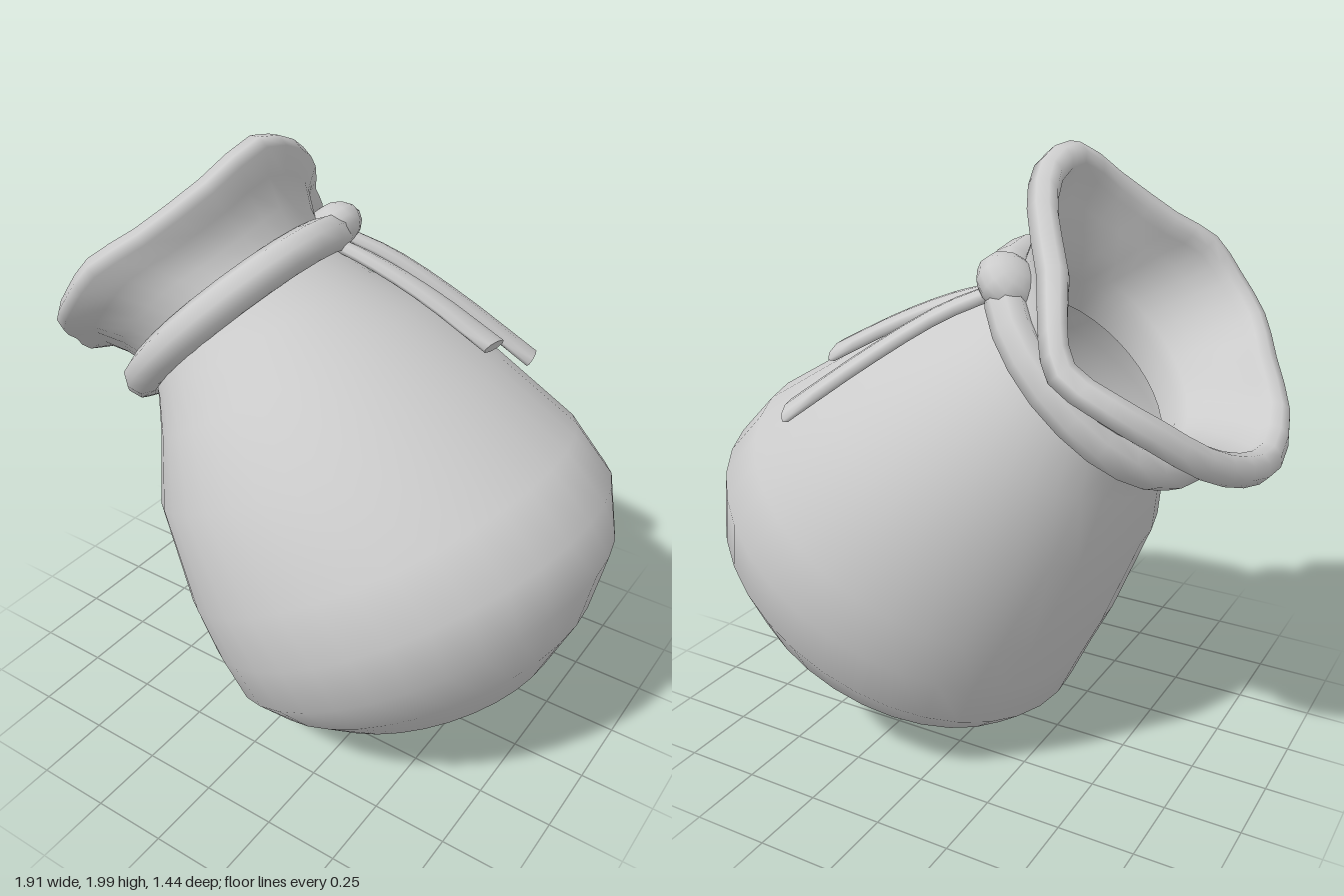
import * as THREE from 'three';

const SEG = 36;
const V = (x, y, z) => new THREE.Vector3(x, y, z);

// Elliptical ring leaning in the xy plane: from its left end (ax, ay) to its right end (bx, by), half width w in z
function ring([ax, ay, bx, by, w]) {
  return Array.from({ length: SEG }, (_, j) => {
    const a = (j / SEG) * Math.PI * 2, c = Math.cos(a) / 2;
    return V((ax + bx) / 2 + (bx - ax) * c, (ay + by) / 2 + (by - ay) * c, w * Math.sin(a));
  });
}

// Skin through closed rings, optionally finished with a pole point
function loft(rings, pole) {
  const points = rings.flat();
  const idx = [], n = rings[0].length, last = rings.length - 1;
  for (let i = 0; i < last; i++) {
    for (let j = 0; j < n; j++) {
      const a = i * n + j, b = i * n + (j + 1) % n;
      idx.push(a, b, a + n, b, b + n, a + n);
    }
  }
  if (pole) {
    for (let j = 0; j < n; j++) idx.push(last * n + j, last * n + (j + 1) % n, points.length);
    points.push(pole);
  }
  const g = new THREE.BufferGeometry().setFromPoints(points);
  g.setIndex(idx);
  g.computeVertexNormals();
  return g;
}

// Flat tapering strap along a path; it widens from w0 to w1 across the direction 'side'
function strap(points, side, w0, w1, thick) {
  const curve = new THREE.CatmullRomCurve3(points), steps = 8, rings = [];
  side.normalize();
  for (let i = 0; i <= steps; i++) {
    const t = i / steps, c = curve.getPoint(t), tan = curve.getTangent(t);
    const down = tan.cross(side).normalize();
    const w = THREE.MathUtils.lerp(w0, w1, t) / 2;
    rings.push(Array.from({ length: 8 }, (_, k) => {
      const a = (k / 8) * Math.PI * 2;
      return c.clone().addScaledVector(side, Math.cos(a) * w).addScaledVector(down, Math.sin(a) * thick / 2);
    }));
  }
  // repeated end ring keeps the cut end crisp
  const end = rings[steps].map(p => p.clone());
  const cap = rings[steps].map(p => p.clone().lerp(points[points.length - 1], 0.1));
  return loft([...rings, end, cap], points[points.length - 1].clone());
}

export function createModel() {
  const model = new THREE.Group();
  const mat = new THREE.MeshStandardMaterial({ color: 0xcccccc });
  const open = new THREE.MeshStandardMaterial({ color: 0xcccccc, side: THREE.DoubleSide });
  const add = (name, geo, m = mat) => {
    const mesh = new THREE.Mesh(geo, m);
    mesh.name = name;
    model.add(mesh);
    return mesh;
  };

  // Hollow bulging sack, from the neck down to its rounded end
  const neck = [-0.63, 1.11, -0.13, 1.63, 0.36];
  add('sackBody', loft([
    neck,
    [-0.59, 1.06, 0.02, 1.54, 0.42],
    [-0.555, 0.97, 0.21, 1.47, 0.51],
    [-0.53, 0.77, 0.48, 1.32, 0.64],
    [-0.40, 0.45, 0.77, 1.15, 0.715],
    [-0.32, 0.29, 0.91, 1.01, 0.72],
    [-0.25, 0.14, 0.95, 0.83, 0.68],
    [-0.16, 0.075, 0.91, 0.62, 0.58],
    [-0.06, 0.02, 0.82, 0.41, 0.44],
    [0.03, 0.01, 0.69, 0.25, 0.31],
    [0.13, 0.005, 0.53, 0.13, 0.17],
  ].map(ring), V(0.32, 0.05, 0)), open);

  // Wavy centre line of the mouth's lip
  const lip = new THREE.CatmullRomCurve3([
    V(-0.22, 1.95, 0.09), V(-0.29, 1.85, 0.24), V(-0.42, 1.72, 0.38),
    V(-0.52, 1.64, 0.48), V(-0.60, 1.53, 0.50), V(-0.70, 1.42, 0.45),
    V(-0.78, 1.32, 0.33), V(-0.87, 1.20, 0.20), V(-0.91, 1.13, 0.00),
    V(-0.89, 1.15, -0.18), V(-0.83, 1.22, -0.35), V(-0.73, 1.32, -0.47),
    V(-0.62, 1.40, -0.54), V(-0.50, 1.47, -0.55), V(-0.44, 1.56, -0.48),
    V(-0.36, 1.67, -0.32), V(-0.25, 1.81, -0.17), V(-0.20, 1.91, -0.04),
  ], true);
  const lipRing = Array.from({ length: SEG }, (_, j) => lip.getPoint(j / SEG));
  const neckRing = ring(neck);
  const axis = V(-0.73, 0.68, 0).normalize();
  const lipCentre = V(-0.56, 1.53, 0);

  // Ring between neck and lip, pinched towards the middle
  const between = (t, pinch) => {
    const c = V(-0.38, 1.37, 0).lerp(lipCentre, t);
    return neckRing.map((p, j) => p.clone().lerp(lipRing[j], t).sub(c).multiplyScalar(pinch).add(c));
  };
  // Ring on the rounded edge of the lip; 0 degrees is outside, 180 inside
  const roll = degrees => {
    const a = THREE.MathUtils.degToRad(degrees);
    return lipRing.map(p => {
      const out = p.clone().sub(lipCentre).projectOnPlane(axis).normalize();
      return p.clone().addScaledVector(out, 0.05 * Math.cos(a)).addScaledVector(axis, 0.05 * Math.sin(a));
    });
  };

  // Flared mouth: up the outside, over the lip and down the inside into the sack
  add('flaredMouth', loft([
    neckRing, between(0.2, 0.98), between(0.45, 0.97), between(0.75, 1.0),
    roll(-20), roll(25), roll(70), roll(110), roll(150), roll(190),
    between(0.7, 0.9), between(0.4, 0.87), between(0.15, 0.87), between(0, 0.87),
    ring([-0.55, 1.07, -0.10, 1.51, 0.33]),
  ].map(r => r.reverse())), open);

  // Cord tied around the neck
  const cord = new THREE.CatmullRomCurve3(
    ring([-0.668, 1.07, -0.105, 1.655, 0.39]).filter((_, j) => j % 3 === 0), true);
  add('neckCord', new THREE.TubeGeometry(cord, 24, 0.063, 8, true));

  // Knot, lying along the cord
  const knot = add('knot', new THREE.SphereGeometry(1, 12, 8));
  knot.scale.set(0.1, 0.075, 0.11);
  knot.position.set(-0.17, 1.62, -0.23);
  knot.rotation.set(-0.25, 0.25, 0.75);

  // Two loose cord ends resting on the sack
  add('innerCordEnd', strap(
    [V(-0.15, 1.59, -0.19), V(0.0, 1.55, -0.205), V(0.2, 1.465, -0.235), V(0.425, 1.345, -0.26)],
    V(0.05, 0.25, 1), 0.07, 0.145, 0.045));
  add('outerCordEnd', strap(
    [V(-0.15, 1.60, -0.25), V(0.0, 1.53, -0.32), V(0.2, 1.395, -0.405), V(0.45, 1.205, -0.50)],
    V(0.35, 0.2, 1), 0.07, 0.145, 0.045));

  return model;
}
